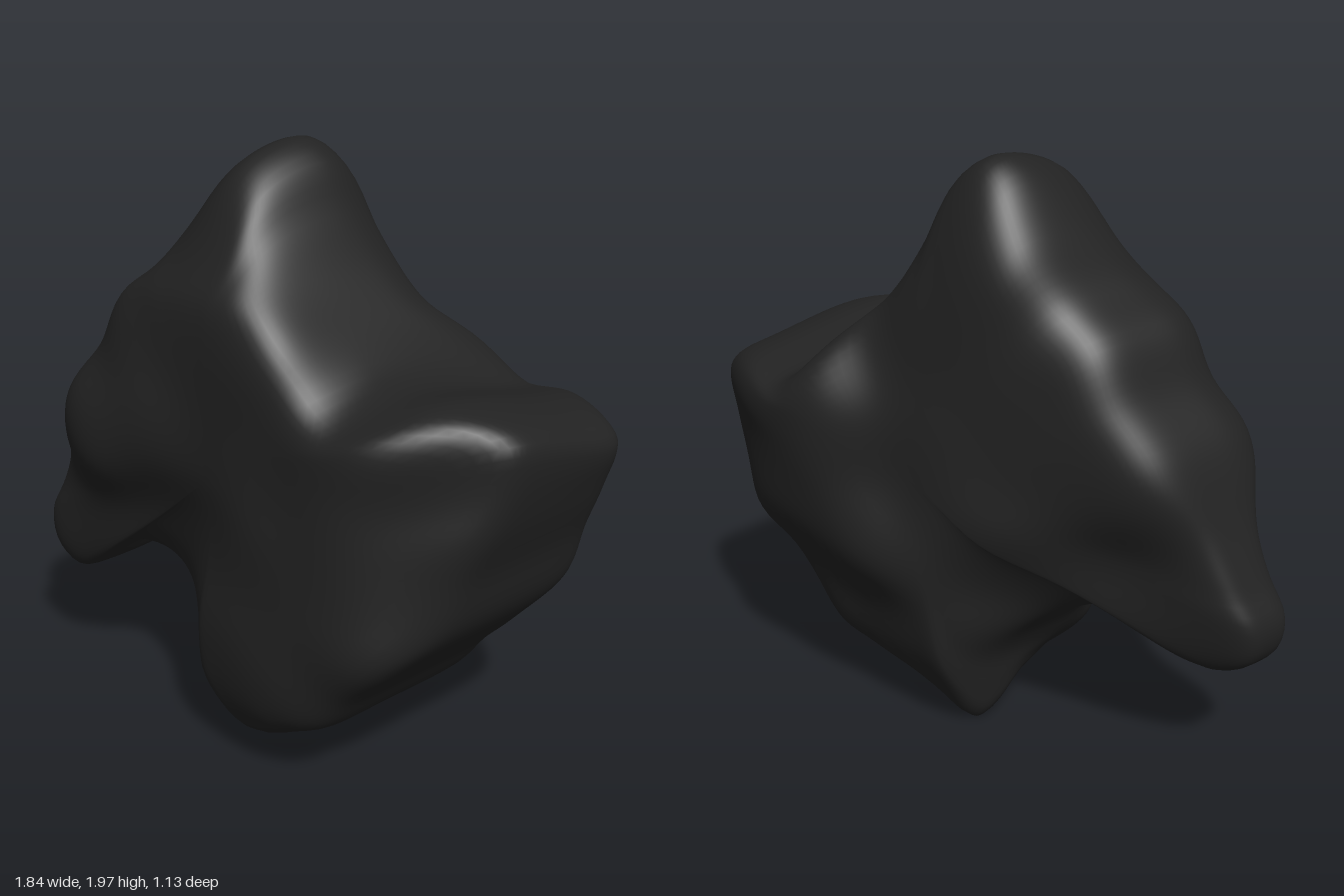
import * as THREE from 'three';
import { mergeVertices } from 'three/addons/utils/BufferGeometryUtils.js';

// Front outline, counter-clockwise from the tip of the spine
const OUTLINE = [
  [-0.1, 2], [-0.18, 1.96], [-0.3, 1.79], [-0.39, 1.62], [-0.52, 1.49], [-0.6, 1.32], [-0.71, 1.15],
  [-0.8, 0.9], [-0.87, 0.72], [-0.92, 0.6], [-0.89, 0.48], [-0.78, 0.415], [-0.68, 0.46], [-0.6, 0.55],
  [-0.5, 0.57], [-0.35, 0.53], [-0.2, 0.43], [-0.11, 0.3], [-0.08, 0.15], [-0.06, 0.05], [-0.02, 0],
  [0.1, 0.05], [0.22, 0.13], [0.33, 0.2], [0.45, 0.27], [0.55, 0.4], [0.67, 0.53], [0.77, 0.67],
  [0.82, 0.85], [0.88, 1.02], [0.915, 1.2], [0.91, 1.27], [0.85, 1.32], [0.7, 1.355], [0.5, 1.335],
  [0.4, 1.36], [0.28, 1.48], [0.17, 1.62], [0.08, 1.79], [0, 1.95],
];

// Depth samples: x, y, front z, back z
const DEPTH = [
  [-0.1, 1.95, 0.34, -0.22], [-0.12, 1.72, 0.41, -0.27], [-0.15, 1.45, 0.47, -0.28], [-0.42, 1.4, 0.5, -0.14],
  [-0.3, 1.1, 0.54, -0.2], [-0.57, 1.03, 0.6, -0.08], [-0.76, 0.78, 0.48, 0.12], [-0.88, 0.57, 0.54, 0.22],
  [-0.6, 0.62, 0.48, 0.1], [-0.36, 0.62, 0.42, -0.1], [-0.15, 0.8, 0.4, -0.3], [0, 1.1, 0.44, -0.36],
  [0.05, 1.4, 0.44, -0.33], [0.33, 1.15, 0.4, -0.56], [0.6, 1.25, 0.39, -0.58], [0.88, 1.2, 0.1, -0.5],
  [0.82, 0.9, 0.22, -0.51], [0.55, 0.85, 0.42, -0.55], [0.2, 0.72, 0.44, -0.5], [0.2, 0.4, 0.49, -0.34],
  [0.5, 0.48, 0.44, -0.42], [0.02, 0.08, 0.47, -0.22], [0, 0.4, 0.46, -0.3],
];

const { lerp, smoothstep } = THREE.MathUtils;
const gauss = (d, width) => Math.exp(-(d * d) / (2 * width * width));

// Smooth blend of the depth samples around a point
function depthAt(x, y) {
  let sum = 0, front = 0, back = 0;
  for (const [sx, sy, f, b] of DEPTH) {
    const w = gauss(Math.hypot(x - sx, y - sy), 0.14) + 1e-9;
    sum += w;
    front += w * f;
    back += w * b;
  }
  return [front / sum, back / sum];
}

// Edge sharpness: square on the body, round along the arch and the side process
function edgePower(x, y) {
  const base = lerp(4.5, 7.5, smoothstep(x, -0.1, 0.5));
  return base - 2 * gauss(Math.hypot(x + 0.45, y - 0.5), 0.25);
}

// Arched underside between two feet, sloping end face and sloping spine crest
function shapeEnds(x, y, z) {
  const low = (1 - smoothstep(y, 0, 0.35)) * gauss(x - 0.03, 0.2);
  const lift = 0.13 * smoothstep(z, -0.1, 0.12) - 0.05 * smoothstep(z, 0.25, 0.42);
  const end = smoothstep(x, 0.25, 0.5) * smoothstep(y, 1, 1.3);
  const slope = 0.09 * smoothstep(-z, -0.1, 0.5) + 0.05 * smoothstep(z, 0.1, 0.4);
  const crest = smoothstep(y, 1.5, 2) * Math.max(0, z + 0.06) ** 2;
  return [x + 0.13 * low * smoothstep(z, 0, 0.4), y + low * lift - end * slope - crest, z];
}

function boneGeometry() {
  const sides = 180, rings = 72, cx = 0, cy = 1;
  const curve = new THREE.CatmullRomCurve3(OUTLINE.map(([x, y]) => new THREE.Vector3(x, y, 0)), true);
  const rim = curve.getSpacedPoints(sides).slice(0, sides);
  const positions = [], index = [];

  // Rings run from the front centre, out over the rim, to the back centre
  for (let i = 0; i <= rings; i++) {
    const a = Math.PI * (0.5 - i / rings);
    const c = i === 0 || i === rings ? 0 : Math.cos(a), s = Math.sin(a);
    for (const p of rim) {
      const power = edgePower(p.x, p.y);
      const norm = Math.pow(c ** power + Math.abs(s) ** power, 1 / power);
      const x = cx + (p.x - cx) * c / norm;
      const y = cy + (p.y - cy) * c / norm;
      const [front, back] = depthAt(x, y);
      const z = (front + back) / 2 + (front - back) / 2 * s / norm;
      positions.push(...shapeEnds(x, y, z));
    }
  }
  for (let i = 0; i < rings; i++) {
    for (let j = 0; j < sides; j++) {
      const k = (j + 1) % sides;
      const a = i * sides + j, b = a + sides, c = (i + 1) * sides + k, d = i * sides + k;
      if (i < rings - 1) index.push(a, b, c);
      if (i > 0) index.push(a, c, d);
    }
  }
  let geometry = new THREE.BufferGeometry();
  geometry.setAttribute('position', new THREE.Float32BufferAttribute(positions, 3));
  geometry.setIndex(index);
  geometry = mergeVertices(geometry, 1e-5);
  geometry.computeVertexNormals();
  return geometry;
}

export function createModel() {
  const group = new THREE.Group();
  group.name = 'vertebra';
  const bone = new THREE.Mesh(boneGeometry(), new THREE.MeshStandardMaterial({ color: 0x222222 }));
  bone.name = 'vertebraBody';
  group.add(bone);
  return group;
}
